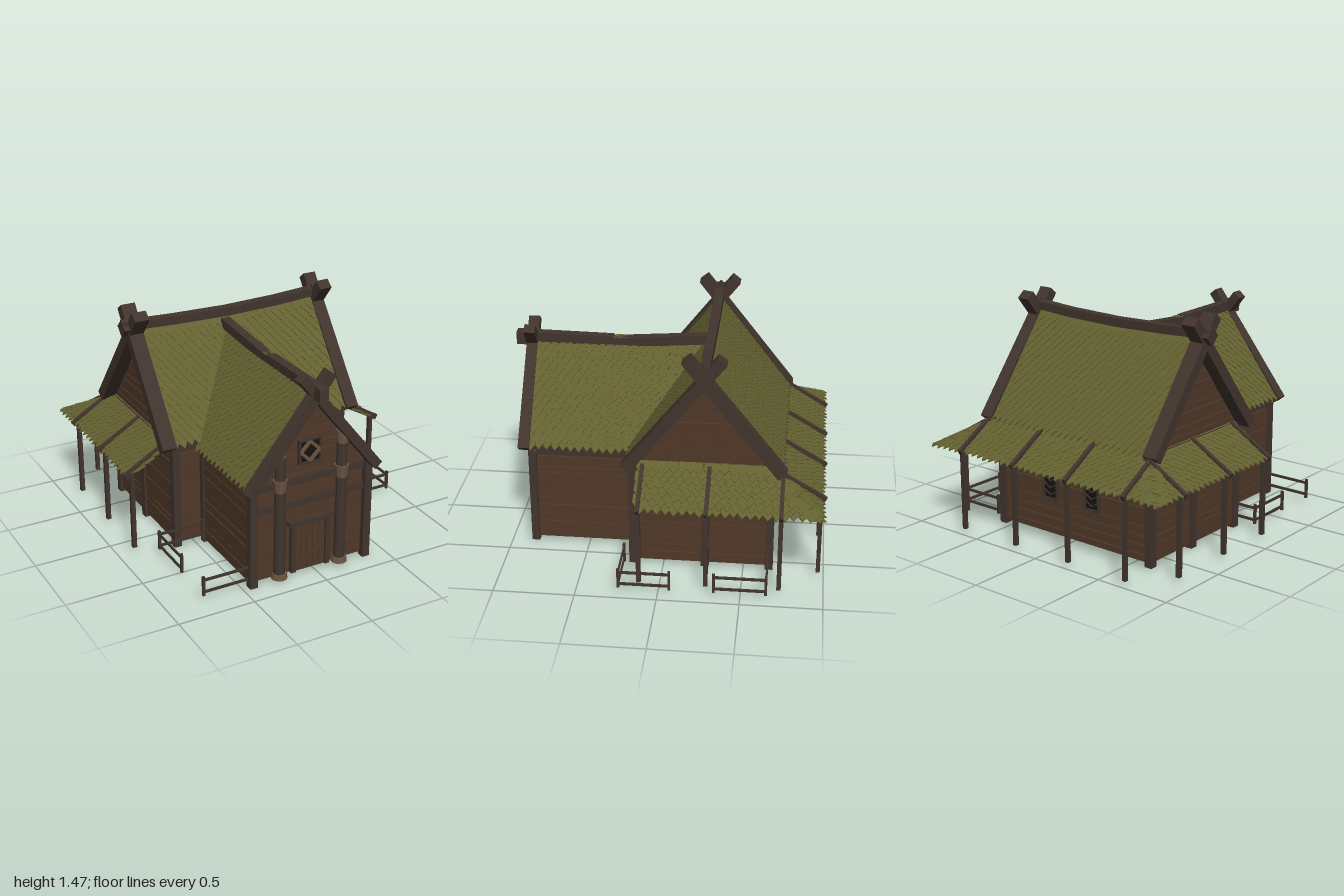
import * as THREE from 'three';
import { mergeGeometries } from 'three/addons/utils/BufferGeometryUtils.js';

const mat = (color) => new THREE.MeshStandardMaterial({ color, flatShading: true, side: THREE.DoubleSide });
const WOOD = mat(0x41342d), PLANK = mat(0x4f3829), PALE = mat(0x6b5340), DARK = mat(0x16130f), ROOF = mat(0x636030);
const V = (x, y, z) => new THREE.Vector3(x, y, z);
let seed = 7;
const rnd = () => (seed = (seed * 16807) % 2147483647) / 2147483647;

export function createModel() {
  const root = new THREE.Group();
  const add = (name, geo, material, parent = root) => {
    const m = new THREE.Mesh(geo, material);
    m.name = name;
    parent.add(m);
    return m;
  };
  const box = (name, x, y, z, w, h, d, material = WOOD, parent = root) => {
    const m = add(name, new THREE.BoxGeometry(w, h, d), material, parent);
    m.position.set(x, y, z);
    return m;
  };
  // Square timber from a to b
  const beam = (name, a, b, w, h, material = WOOD, parent = root) => {
    const m = new THREE.Mesh(new THREE.BoxGeometry(w, h, a.distanceTo(b)), material);
    m.name = name;
    m.position.copy(a).add(b).multiplyScalar(0.5);
    m.lookAt(b);
    parent.add(m);
  };
  const post = (name, x, z, y0, y1, w) => box(name, x, (y0 + y1) / 2, z, w, y1 - y0, w);

  // Plank wall between two ground points; half(y) narrows it for gables
  const wall = (name, ax, az, bx, bz, y0, y1, half) => {
    const len = Math.hypot(bx - ax, bz - az), n = Math.round((y1 - y0) / 0.058), parts = [];
    const hw = half || (() => len / 2);
    let lo = y0;
    for (let i = 0; i < n; i++) {
      const next = i === n - 1 ? y1 : y0 + (y1 - y0) * (i + 1 + (rnd() - 0.5) * 0.4) / n;
      const hi = next - 0.001 - rnd() * 0.006;
      const a = hw(lo), b = Math.max(hw(hi), 0.002);
      const s = new THREE.Shape([new THREE.Vector2(-a, lo), new THREE.Vector2(a, lo), new THREE.Vector2(b, hi), new THREE.Vector2(-b, hi)]);
      parts.push(new THREE.ExtrudeGeometry(s, { depth: 0.018, bevelEnabled: false }).translate(0, 0, -0.009 + (rnd() - 0.5) * 0.006));
      lo = next;
    }
    const m = add(name, mergeGeometries(parts), PLANK);
    m.position.set((ax + bx) / 2, 0, (az + bz) / 2);
    m.rotation.y = -Math.atan2(bz - az, bx - ax);
  };

  // Pointed shingle, tip at the origin
  const shingleShape = new THREE.Shape([[0, 0], [0.026, 0.036], [0.026, 0.1], [-0.026, 0.1], [-0.026, 0.036]].map(p => new THREE.Vector2(...p)));
  const shingle = new THREE.ExtrudeGeometry(shingleShape, { depth: 0.008, bevelEnabled: false }).rotateX(-0.1);
  // Rows of shingles on a plane: eave origin E, along U, up slope S; range(s) limits each row,
  // keep drops shingles and ceiling(x, z) presses vertices down onto a neighbouring slope
  const shingles = (name, E, U, S, length, range, { keep = () => true, sag = () => 0, ceiling = () => Infinity } = {}) => {
    U.normalize(); S.normalize();
    const N = U.clone().cross(S), rows = Math.round(length / 0.043), parts = [];
    for (let r = 0; r < rows; r++) {
      const s = r * length / rows, [lo, hi] = range(s);
      const n = Math.max(1, Math.round((hi - lo) / 0.05)), step = (hi - lo) / n;
      for (let i = 0; i < n + (r % 2); i++) {
        const u = lo + (i + (r % 2 ? 0 : 0.5)) * step;
        const p = E.clone().addScaledVector(U, u).addScaledVector(S, s + (rnd() - 0.5) * 0.012);
        if (!keep(p)) continue;
        p.y -= sag(p.x) * s / length;
        const g = shingle.clone().rotateZ((rnd() - 0.5) * 0.1).rotateX((rnd() - 0.5) * 0.04);
        parts.push(g.applyMatrix4(new THREE.Matrix4().makeBasis(U, S, N).setPosition(p)));
      }
    }
    const geo = mergeGeometries(parts), pos = geo.attributes.position;
    for (let i = 0; i < pos.count; i++) pos.setY(i, Math.min(pos.getY(i), ceiling(pos.getX(i), pos.getZ(i))));
    add(name, geo, ROOF);
  };

  // Main hall walls, gables and posts; the hall is open towards the wing
  wall('hallBackWall', -0.62, -0.66, 0.57, -0.66, 0.025, 0.7);
  wall('hallFrontWall', -0.62, 0.18, -0.435, 0.18, 0.025, 0.7);
  wall('hallFrontWall', 0.36, 0.18, 0.57, 0.18, 0.025, 0.7);
  for (const x of [-0.62, 0.57]) {
    wall('hallSideWall', x, -0.66, x, 0.18, 0.025, 0.7);
    wall('hallGable', x, -0.67, x, 0.17, 0.7, 1.29, y => (1.31 - y) / 1.32);
    for (const z of [-0.66, -0.26, 0.19]) post('hallPost', x, z, 0.0, 0.7, 0.05);
    beam('gableTieBeam', V(x, 0.69, -0.72), V(x, 0.69, 0.2), 0.05, 0.04);
  }
  for (const z of [-0.67, 0.19]) box('hallPlate', -0.025, 0.69, z, 1.2, 0.05, 0.04);

  // Front wing walls, gable and posts
  for (const x of [-0.435, 0.36]) {
    wall('wingSideWall', x, 0.18, x, 0.84, 0.025, 0.66);
    post('wingPost', x, 0.85, 0, 0.68, 0.05);
    post('wingInnerPost', x, 0.22, 0, 0.66, 0.04);
    box('wingPlate', x, 0.65, 0.53, 0.04, 0.05, 0.66);
  }
  wall('wingFrontWall', -0.435, 0.83, 0.36, 0.83, 0.025, 0.65);
  wall('wingGable', -0.45, 0.83, 0.36, 0.83, 0.65, 1.21, y => (1.22 - y) / 1.3);
  for (const y of [0.5, 0.65]) box('frontTieBeam', -0.04, y, 0.845, 0.78, 0.045, 0.025);

  // Roofs
  const valley = y => -0.25 + (1.33 - y) / 1.31;
  const sag = x => 0.028 * Math.max(0, 1 - (x / 0.66) ** 2);
  const hallLen = Math.hypot(0.48, 0.63);
  const keep = p => Math.abs(p.x + 0.05) > (1.25 - p.y) / 1.31 - 0.06;
  shingles('hallRoofFront', V(0, 0.7, 0.24), V(1, 0, 0), V(0, 0.63, -0.48), hallLen - 0.03, () => [-0.65, 0.62], { keep, sag });
  shingles('hallRoofBack', V(0, 0.7, -0.74), V(-1, 0, 0), V(0, 0.63, 0.48), hallLen - 0.03, () => [-0.62, 0.65], { sag });
  const wingLen = Math.hypot(0.45, 0.59);
  for (const k of [1, -1]) {
    const start = s => valley(0.66 + s * 0.59 / wingLen) - 0.04;
    shingles('wingRoof', V(-0.05 + k * 0.45, 0.66, 0), V(0, 0, -k), V(-k * 0.45, 0.59, 0), wingLen - 0.03,
      s => k > 0 ? [-0.88, -start(s)] : [start(s), 0.88]);
  }

  // Ridge beams, the hall one sagging in the middle
  const ridge = [-0.75, -0.4, -0.03, 0.34, 0.69].map(x => V(x, 1.366 - sag(x), -0.25));
  for (let i = 0; i < 4; i++) beam('hallRidge', ridge[i], ridge[i + 1], 0.06, 0.055);
  for (const x of [-0.71, 0.65]) box('hallRidgeEnd', x, 1.35, -0.25, 0.09, 0.08, 0.08).rotation.x = Math.PI / 4;
  beam('wingRidge', V(-0.05, 1.275, -0.22), V(-0.05, 1.23, 0.4), 0.06, 0.06);
  beam('wingRidge', V(-0.05, 1.23, 0.38), V(-0.05, 1.24, 1), 0.06, 0.085);

  // Crossed barge boards
  for (const k of [1, -1]) {
    beam('hallBargeBoard', V(-0.67, 1.45, -0.25 + k * 0.108), V(-0.678, 0.7, -0.25 - k * 0.478), 0.095, 0.068);
    beam('hallBargeBoard', V(0.637, 1.435, -0.25 + k * 0.108), V(0.632, 0.7, -0.25 - k * 0.478), 0.085, 0.068);
    beam('wingBargeBoard', V(-0.05 + k * 0.098, 1.335, 0.9), V(-0.05 - k * 0.438, 0.66, 0.9), 0.07, 0.06);
  }

  // Lean-to roof around the back and both sides, meeting at hips
  const run = 0.28, rise = 0.17, leanLen = Math.hypot(run, rise), cx = -0.015;
  const hip = s => s * run / leanLen;
  const ceiling = (x, z) => 0.543 + Math.min(z + 0.99, 0.915 - Math.abs(x - cx)) * rise / run;
  shingles('backLeanToRoof', V(cx, 0.53, -0.99), V(-1, 0, 0), V(0, rise, run), leanLen, s => [-0.915 + hip(s), 0.915 - hip(s)], { ceiling });
  shingles('leftLeanToRoof', V(cx + 0.915, 0.53, 0), V(0, 0, -1), V(-run, rise, 0), leanLen, s => [-0.135, 0.98 - hip(s)], { ceiling });
  shingles('rightLeanToRoof', V(cx - 0.915, 0.53, 0), V(0, 0, 1), V(run, rise, 0), leanLen, s => [-0.98 + hip(s), 0.135], { ceiling });
  for (const x of [-0.675, -0.235, 0.19, 0.63]) {
    beam('backRafter', V(x, 0.705, -0.71), V(x, 0.54, -0.99), 0.025, 0.035);
    post('backLeanToPost', x, -0.965, 0.03, 0.55, 0.025);
  }
  for (const k of [1, -1]) for (const z of [-0.73, -0.285, 0.125]) {
    beam('sideRafter', V(cx + k * 0.62, 0.705, z), V(cx + k * 0.915, 0.535, z), 0.025, 0.035);
    post('sideLeanToPost', cx + k * 0.87, z, 0.03, 0.55, 0.027);
  }

  // Front columns with bases and collars
  for (const x of [-0.255, 0.17]) {
    const drum = (name, r0, r1, y0, y1, material) => {
      add(name, new THREE.CylinderGeometry(r1, r0, y1 - y0, 10), material).position.set(x, (y0 + y1) / 2, 0.86);
    };
    drum('columnShaft', 0.037, 0.034, 0.03, 0.9, WOOD);
    drum('columnBase', 0.052, 0.045, 0.02, 0.055, PALE);
    drum('columnCollar', 0.036, 0.045, 0.61, 0.69, PALE);
    drum('columnHead', 0.036, 0.04, 0.84, 0.92, PALE);
  }

  // Door
  for (let i = 0; i < 5; i++) box('doorPlank', -0.125 + i * 0.042, 0.19, 0.848, 0.039, 0.32, 0.02, PLANK);
  for (const x of [-0.16, 0.078]) box('doorJamb', x, 0.195, 0.855, 0.032, 0.33, 0.035);
  box('doorLintel', -0.04, 0.37, 0.858, 0.31, 0.03, 0.045);

  // Framed dark windows: diamond on the front, chevrons elsewhere
  const makeWindow = (name, x, y, z, turn, w, h) => {
    const g = new THREE.Group();
    g.name = name;
    g.position.set(x, y, z);
    g.rotation.y = turn;
    root.add(g);
    box('windowPane', 0, 0, 0, w, h, 0.022, DARK, g);
    for (const k of [1, -1]) {
      box('windowSide', k * w / 2, 0, 0.005, 0.014, h + 0.014, 0.032, WOOD, g);
      box('windowRail', 0, k * h / 2, 0.005, w, 0.014, 0.032, WOOD, g);
    }
    return g;
  };
  const diamond = makeWindow('diamondWindow', -0.05, 0.83, 0.84, 0, 0.14, 0.15);
  for (let i = 0; i < 4; i++) {
    const a = i * Math.PI / 2, b = a + Math.PI / 2, r = 0.064;
    beam('diamondBar', V(Math.cos(a) * r, Math.sin(a) * r, 0.016), V(Math.cos(b) * r, Math.sin(b) * r, 0.016), 0.016, 0.02, PALE, diamond);
  }
  for (const [x, y, z, turn] of [[0.578, 0.54, 0.03, Math.PI / 2], [0.578, 0.54, -0.38, Math.PI / 2], [0.155, 0.34, -0.668, Math.PI], [-0.18, 0.34, -0.668, Math.PI]]) {
    const g = makeWindow('chevronWindow', x, y, z, turn, 0.11, 0.16);
    for (const v of [-0.055, -0.01, 0.035]) for (const k of [1, -1])
      beam('chevronBar', V(0, v, 0.013), V(k * 0.05, v + 0.03, 0.013), 0.008, 0.007, WOOD, g);
  }

  // Low fences
  const fence = (...pts) => pts.forEach(([x, z], i) => {
    post('fencePost', x, z, 0.035, 0.165, 0.016);
    if (i) for (const y of [0.06, 0.14]) beam('fenceRail', V(pts[i - 1][0], y, pts[i - 1][1]), V(x, y, z), 0.01, 0.016);
  });
  fence([0.64, 0.24], [0.935, 0.24], [0.935, -0.07]);
  fence([0.64, -0.655], [0.935, -0.655], [0.935, -0.34]);
  fence([-0.46, 0.235], [-0.76, 0.235], [-0.76, 0.55]);
  fence([-0.45, 0.845], [-0.76, 0.845]);
  return root;
}
